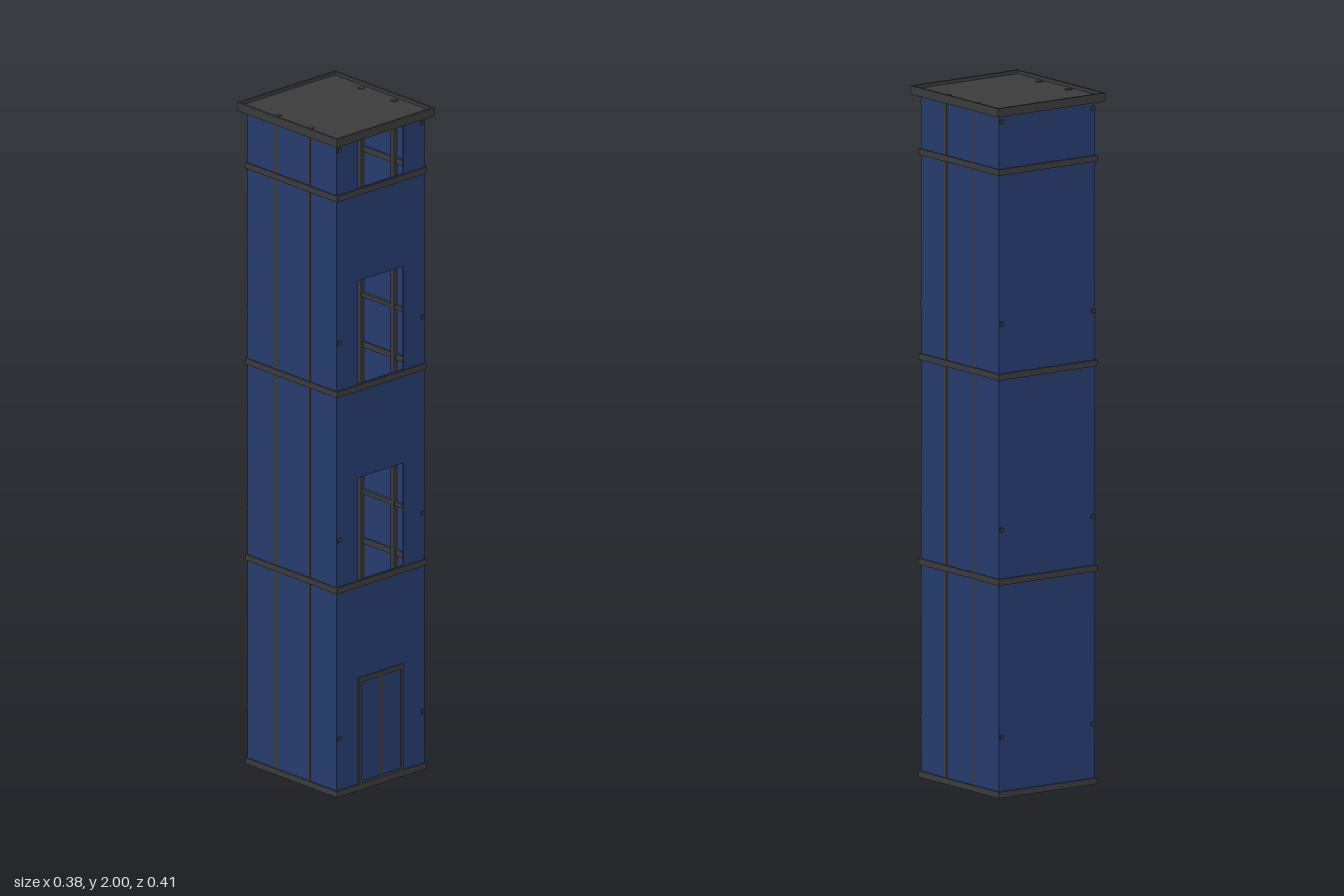
import * as THREE from 'three';

const blue = new THREE.MeshStandardMaterial({ color: 0x253c6e });
const blueSheet = new THREE.MeshStandardMaterial({ color: 0x253c6e, side: THREE.DoubleSide });
const dark = new THREE.MeshStandardMaterial({ color: 0x3b3b3b });

const W = 0.17, D = 0.185, TOP = 1.985;   // half width, half depth, wall top

function box(parent, name, mat, x0, x1, y0, y1, z0, z1) {
  const mesh = new THREE.Mesh(new THREE.BoxGeometry(x1 - x0, y1 - y0, z1 - z0), mat);
  mesh.position.set((x0 + x1) / 2, (y0 + y1) / 2, (z0 + z1) / 2);
  mesh.name = name;
  parent.add(mesh);
  return mesh;
}

function rect(target, x0, x1, y0, y1) {
  target.moveTo(x0, y0);
  target.lineTo(x1, y0);
  target.lineTo(x1, y1);
  target.lineTo(x0, y1);
  target.closePath();
  return target;
}

// Hollow rectangular ring lying flat around the shaft
function ring(name, hx, hz, t, y0, y1) {
  const shape = rect(new THREE.Shape(), -hx, hx, -hz, hz);
  shape.holes.push(rect(new THREE.Path(), -hx + t, hx - t, -hz + t, hz - t));
  const geo = new THREE.ExtrudeGeometry(shape, { depth: y1 - y0, bevelEnabled: false });
  geo.rotateX(-Math.PI / 2);
  geo.translate(0, y0, 0);
  const mesh = new THREE.Mesh(geo, dark);
  mesh.name = name;
  return mesh;
}

export function createModel() {
  const model = new THREE.Group();
  model.name = 'liftShaft';
  const t = 0.004;

  // Front wall with a doorway opening on each floor
  const front = rect(new THREE.Shape(), -W, W, 0.005, TOP);
  for (const [y0, y1] of [[0.02, 0.335], [0.635, 0.945], [1.228, 1.54], [1.82, 1.975]]) {
    front.holes.push(rect(new THREE.Path(), -0.088, 0.088, y0, y1));
  }
  const frontGeo = new THREE.ExtrudeGeometry(front, { depth: t, bevelEnabled: false });
  frontGeo.translate(0, 0, D - t);
  const frontWall = new THREE.Mesh(frontGeo, blueSheet);
  frontWall.name = 'frontWall';
  model.add(frontWall);

  // Back and side walls
  box(model, 'backWall', blue, -W, W, 0.005, TOP, -D, -D + t);
  for (const s of [-1, 1]) {
    const xs = [s * W, s * (W - t)].sort((a, b) => a - b);
    box(model, 'sideWall', blue, xs[0], xs[1], 0.005, TOP, -D + t, D - t);

    // Vertical guide rails, showing through the side walls
    const rx = [s * (W + 0.001), s * (W - 0.016)].sort((a, b) => a - b);
    for (const z of [-0.069, 0.069]) {
      box(model, 'guideRail', dark, rx[0], rx[1], 0.01, 1.992, z - 0.007, z + 0.007);
    }

    // Inner cross beams whose ends poke through front and back
    const bx = [s * (W - 0.002), s * (W - 0.014)].sort((a, b) => a - b);
    for (const y of [0.175, 0.775, 1.37, 1.955]) {
      box(model, 'crossBeam', dark, bx[0], bx[1], y - 0.006, y + 0.006, -D - 0.004, D + 0.004);
    }
  }

  // Floor bands
  for (const y of [0.01, 0.625, 1.218, 1.81]) {
    model.add(ring('floorBand', W + 0.004, D + 0.005, 0.012, y - 0.009, y + 0.009));
  }

  // Ground floor double door
  const door = new THREE.Group();
  door.name = 'door';
  for (const s of [-1, 1]) {
    box(door, 'doorLeaf', blue, Math.min(0, s * 0.08), Math.max(0, s * 0.08), 0.02, 0.33, D - 0.004, D + 0.001);
    box(door, 'doorJamb', dark, s * 0.082 - 0.006, s * 0.082 + 0.006, 0.015, 0.34, D - 0.008, D + 0.004);
  }
  box(door, 'doorPost', dark, -0.006, 0.006, 0.02, 0.33, D - 0.008, D + 0.003);
  box(door, 'doorLintel', dark, -0.088, 0.088, 0.326, 0.34, D - 0.008, D + 0.004);
  box(door, 'doorSill', dark, -0.088, 0.088, 0.015, 0.026, D - 0.008, D + 0.004);
  model.add(door);

  // Roof slab set inside a raised rim
  box(model, 'roofSlab', dark, -0.186, 0.186, 1.975, 1.99, -0.203, 0.203);
  model.add(ring('roofRim', 0.19, 0.207, 0.007, 1.975, 2.0));

  return model;
}
